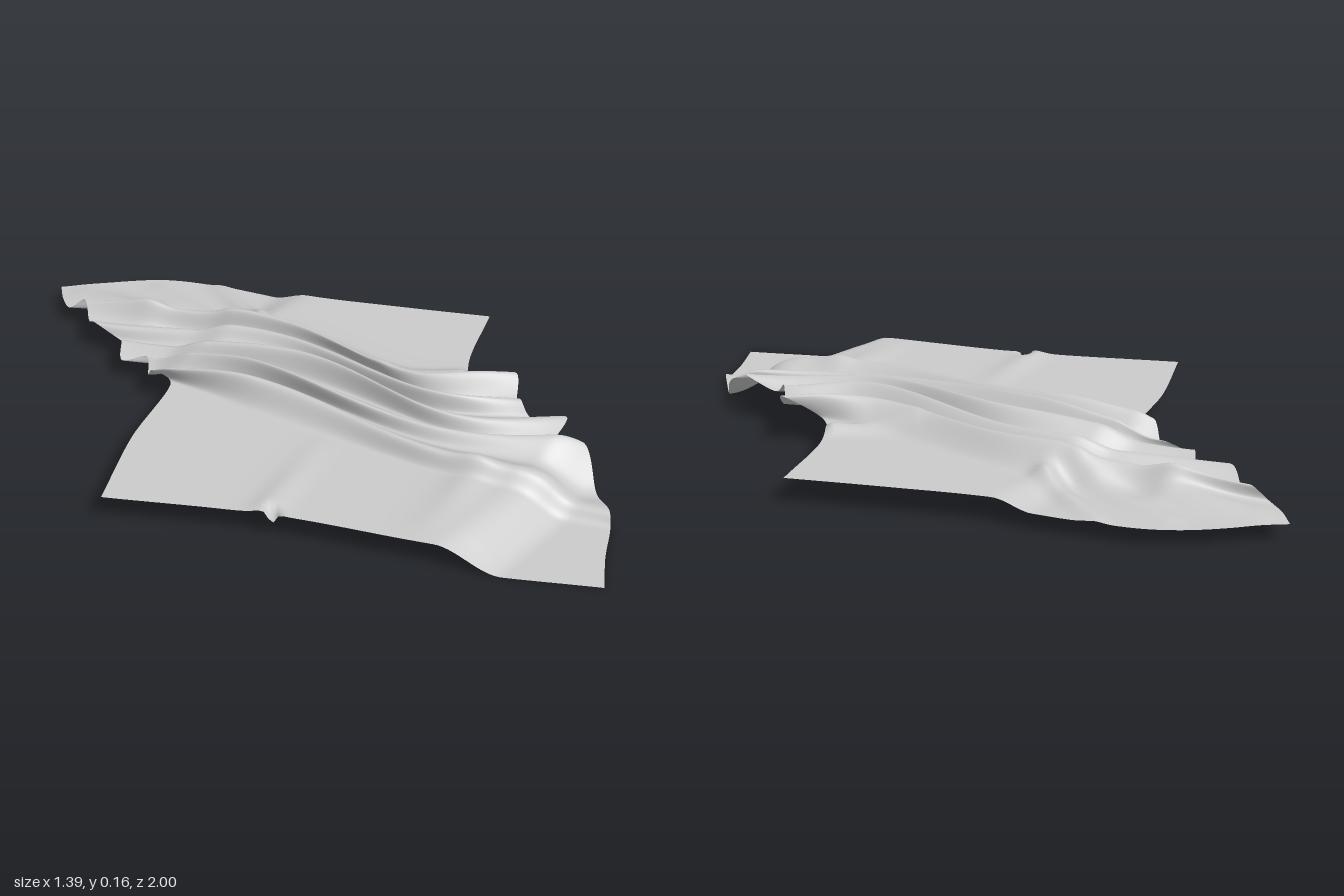
import * as THREE from 'three';

// Fold lines across the cloth, from one long hem to the other:
// [lift, then x,z stations from the back-right gathered hem to the front-left one]
const FOLDS = [
  [0.0, -0.70, 0.05, -0.37, 0.36, -0.05, 0.74, 0.22, 0.995],
  [0.0, -0.50, -0.145, -0.26, 0.20, 0.03, 0.60, 0.30, 0.90],
  [0.05, -0.27, -0.33, -0.14, -0.06, 0.09, 0.43, 0.39, 0.81],
  [0.95, -0.31, -0.36, -0.09, -0.09, 0.14, 0.39, 0.41, 0.78],
  [0.25, -0.29, -0.42, -0.06, -0.12, 0.17, 0.36, 0.45, 0.68],
  [0.95, -0.27, -0.46, -0.03, -0.14, 0.19, 0.33, 0.49, 0.57],
  [0.3, -0.32, -0.52, 0.00, -0.17, 0.21, 0.30, 0.42, 0.52],
  [1.0, -0.29, -0.57, 0.03, -0.20, 0.23, 0.27, 0.49, 0.49],
  [0.35, -0.27, -0.61, 0.06, -0.23, 0.25, 0.23, 0.44, 0.40],
  [0.9, -0.31, -0.70, 0.09, -0.27, 0.26, 0.18, 0.44, 0.35],
  [0.25, -0.29, -0.77, 0.12, -0.30, 0.28, 0.14, 0.46, 0.31],
  [0.85, -0.27, -0.83, 0.14, -0.33, 0.30, 0.10, 0.50, 0.25],
  [0.1, -0.30, -0.87, 0.15, -0.43, 0.33, 0.05, 0.41, 0.18],
  [0.0, -0.29, -0.93, 0.17, -0.55, 0.38, -0.05, 0.48, 0.06],
  [0.0, -0.26, -1.00, 0.02, -0.865, 0.165, -0.71, 0.31, -0.51, 0.50, -0.31, 0.69, -0.12],
];

// Soft drapes in the flatter areas: [x0, z0, x1, z1, width, height], fading to the second end
const DRAPES = [
  [-0.37, 0.33, -0.10, 0.17, 0.04, 0.012],
  [-0.365, 0.355, -0.35, 0.34, 0.013, -0.045],
  [0.18, 0.50, -0.06, 0.62, 0.05, 0.014],
  [0.32, 0.63, 0.04, 0.71, 0.04, 0.012],
  [0.03, -0.50, -0.02, -0.82, 0.035, 0.02],
  [0.12, -0.48, 0.13, -0.72, 0.03, 0.03],
  [-0.12, -0.70, -0.22, -0.90, 0.06, 0.035],
  [0.42, 0.10, 0.25, -0.02, 0.03, 0.025],
];

const smooth = THREE.MathUtils.smoothstep;

// Surface the cloth rests on: raised middle, low front, slightly low back
function restHeight(x, z) {
  const s = z + 0.33 * x;
  return 0.075 * (1 - smooth(s, 0.66, 0.83)) - 0.028 * (1 - smooth(s, -0.52, -0.41));
}

function drapeHeight(x, z) {
  let h = 0;
  for (const [x0, z0, x1, z1, w, amount] of DRAPES) {
    const dx = x1 - x0, dz = z1 - z0;
    const t = THREE.MathUtils.clamp(((x - x0) * dx + (z - z0) * dz) / (dx * dx + dz * dz), 0, 1);
    const d2 = (x - x0 - t * dx) ** 2 + (z - z0 - t * dz) ** 2;
    h += amount * (1 - 0.7 * t) * Math.exp(-d2 / (w * w));
  }
  return h;
}

// Hem or fold line through its stations
function foldCurve(fold) {
  const points = [];
  for (let k = 1; k < fold.length; k += 2) points.push(new THREE.Vector3(fold[k], 0, fold[k + 1]));
  return new THREE.CatmullRomCurve3(points, false, 'centripetal');
}

function createCloth(nu = 230, nv = 110) {
  const curves = FOLDS.map(foldCurve);
  const positions = [], indices = [];
  for (let j = 0; j <= nv; j++) {
    const v = j / nv;
    const middle = Math.sin(Math.PI * v);
    // One cross-section through all folds; the front folds sink towards the low end
    const section = curves.map((curve, i) => {
      const p = curve.getPoint(v);
      const lift = FOLDS[i][0];
      if (lift === 0) return p;
      const sink = 1 - 0.6 * smooth(v, 0.3, 0.9) * Math.max(0, 1 - (i - 3) / 7);
      const ripple = 0.9 + 0.1 * Math.sin(9 * v + 2.3 * i);
      p.y = lift * ripple * sink * (0.053 + 0.037 * smooth(v, 0, 0.3));
      // Crests lean over the neighbouring valley
      const lean = lift > 0.5 ? 0.016 * middle * (1 + 0.6 * Math.sin(8 * v + i)) : 0;
      const shift = lean + 0.004 * middle * Math.sin(13 * v + 1.7 * i);
      p.x -= shift;
      p.z += shift * 0.7;
      return p;
    });
    const across = new THREE.CatmullRomCurve3(section, false, 'centripetal');
    for (let i = 0; i <= nu; i++) {
      const p = across.getPoint(i / nu);
      const y = restHeight(p.x, p.z) + Math.max(p.y, 0) + drapeHeight(p.x, p.z);
      positions.push(p.x, Math.max(y, 0), p.z);
    }
  }
  const row = nu + 1;
  for (let j = 0; j < nv; j++) {
    for (let i = 0; i < nu; i++) {
      const a = j * row + i, b = a + row;
      indices.push(a, b, a + 1, b, b + 1, a + 1);
    }
  }
  const geometry = new THREE.BufferGeometry();
  geometry.setAttribute('position', new THREE.Float32BufferAttribute(positions, 3));
  geometry.setIndex(indices);
  geometry.computeVertexNormals();
  return geometry;
}

export function createModel() {
  const group = new THREE.Group();
  group.name = 'crumpledCloth';
  const material = new THREE.MeshStandardMaterial({ color: 0xcccccc, side: THREE.DoubleSide });
  const cloth = new THREE.Mesh(createCloth(), material);
  cloth.name = 'clothSheet';
  group.add(cloth);
  return group;
}
